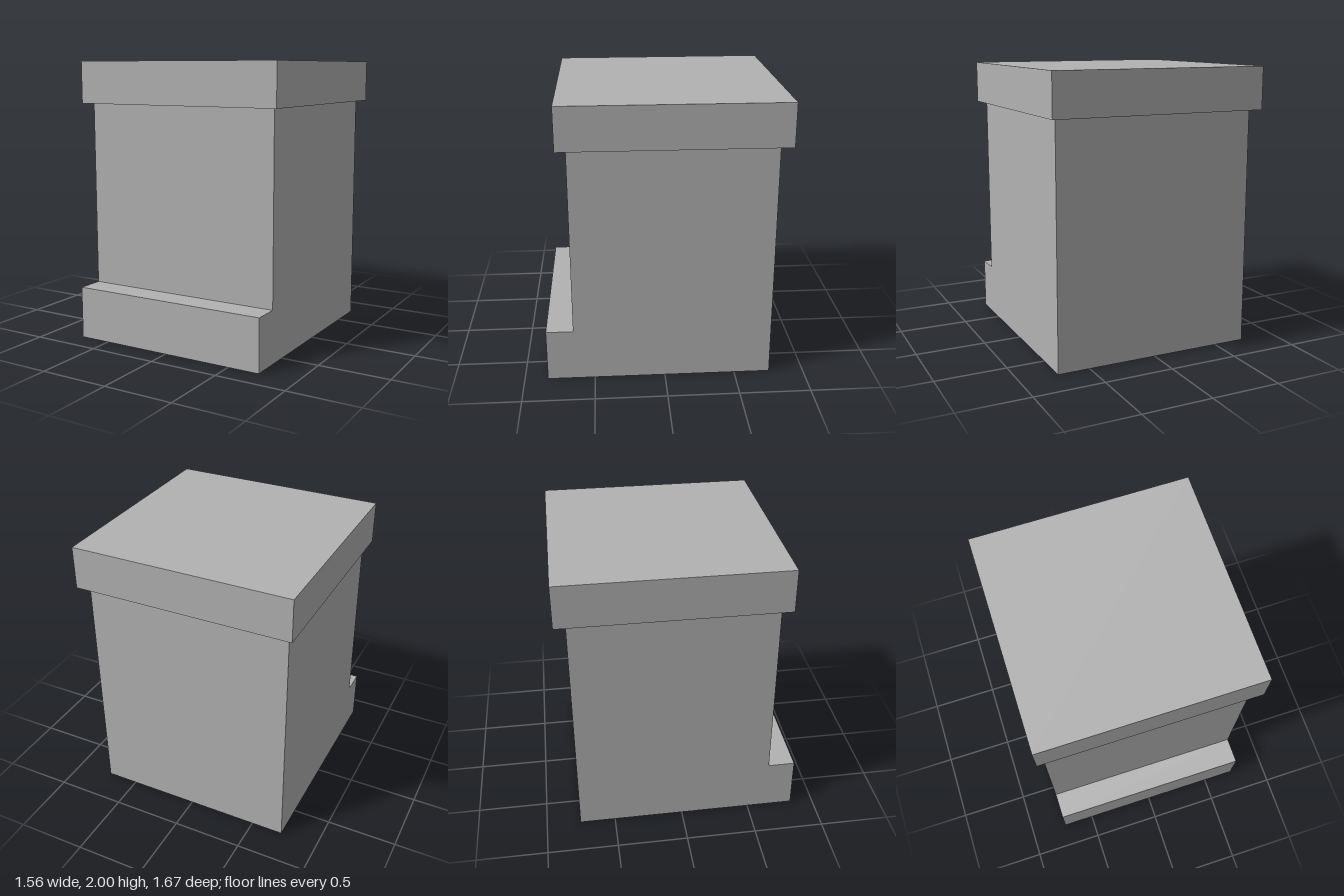
import * as THREE from 'three';

const WIDTH = 1.46;

export function createModel() {
  const group = new THREE.Group();
  group.name = 'pedestalBox';
  const grey = new THREE.MeshStandardMaterial({ color: 0xb2b2b2 });
  grey.name = 'plain grey';

  // Body with front step: side profile (z, y) extruded across the width
  const profile = new THREE.Shape([
    [-0.755, 0], [0.835, 0], [0.835, 0.375], [0.645, 0.375], [0.645, 1.7], [-0.755, 1.7],
  ].map(([z, y]) => new THREE.Vector2(z, y)));
  const bodyGeometry = new THREE.ExtrudeGeometry(profile, { depth: WIDTH, bevelEnabled: false });
  bodyGeometry.translate(0, 0, -WIDTH / 2).rotateY(-Math.PI / 2);
  const body = new THREE.Mesh(bodyGeometry, grey);
  body.name = 'bodyWithFrontStep';

  // Overhanging lid
  const lid = new THREE.Mesh(new THREE.BoxGeometry(1.56, 0.3, 1.55), grey);
  lid.position.set(0, 1.85, -0.06);
  lid.name = 'lid';

  group.add(body, lid);
  return group;
}
